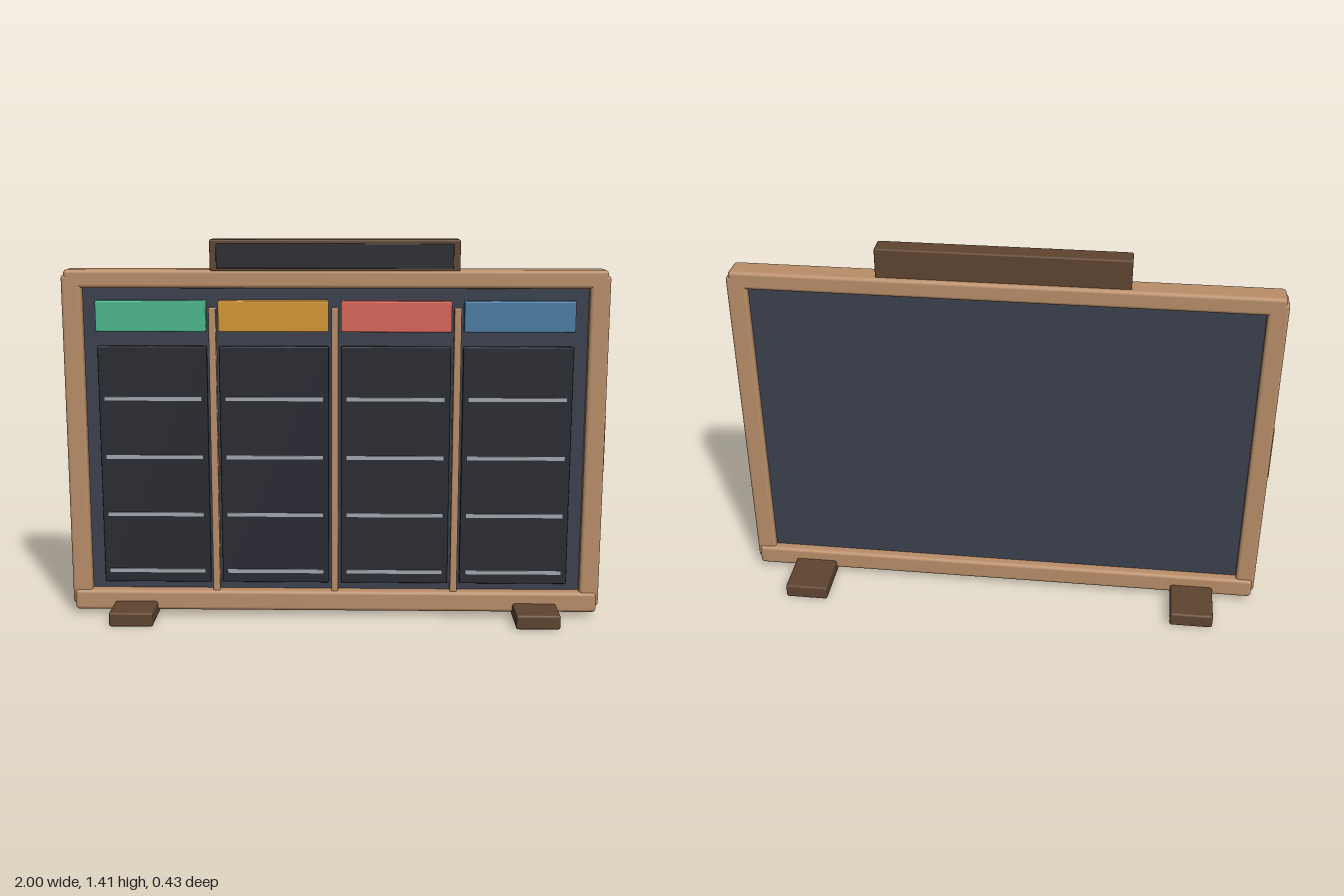
import * as THREE from 'three';
import { RoundedBoxGeometry } from 'three/addons/geometries/RoundedBoxGeometry.js';

function material(name, color) {
  const m = new THREE.MeshStandardMaterial({ color });
  m.name = name;
  return m;
}

export function createModel() {
  const model = new THREE.Group();
  model.name = 'taskBoard';

  const wood = material('light wood', 0xb98e69);
  const darkWood = material('dark wood', 0x5f442f);
  const slate = material('slate', 0x3b414e);
  const panelDark = material('dark panel', 0x2a2a33);
  const chalk = material('chalk grey', 0xa4a7b0);
  const green = material('green', 0x4cb88b);
  const amber = material('amber', 0xd49631);
  const red = material('red', 0xd96558);
  const blue = material('blue', 0x4a7ba3);

  // Soft-edged box given by its limits on each axis
  function block(name, mat, [x0, x1], [y0, y1], [z0, z1], radius = 0) {
    const size = [x1 - x0, y1 - y0, z1 - z0];
    const geometry = radius > 0
      ? new RoundedBoxGeometry(...size, 2, radius)
      : new THREE.BoxGeometry(...size);
    const mesh = new THREE.Mesh(geometry, mat);
    mesh.name = name;
    mesh.position.set((x0 + x1) / 2, (y0 + y1) / 2, (z0 + z1) / 2);
    model.add(mesh);
    return mesh;
  }

  // Board and its frame
  block('board', slate, [-0.95, 0.95], [0.06, 1.27], [0, 0.04]);
  block('topRail', wood, [-0.985, 0.985], [1.237, 1.305], [-0.025, 0.073], 0.014);
  block('bottomRail', wood, [-0.985, 0.985], [0.02, 0.098], [-0.036, 0.081], 0.014);

  // Side posts, grips and feet, mirrored
  for (const s of [-1, 1]) {
    const side = s > 0 ? 'left' : 'right';
    const span = (a, b) => (s > 0 ? [a, b] : [-b, -a]);
    block(side + 'Post', wood, span(0.921, 0.994), [0.043, 1.285], [-0.025, 0.073], 0.012);
    block(side + 'Grip', amber, span(0.975, 1), [0.555, 0.77], [0.009, 0.04], 0.004);
    block(side + 'Foot', darkWood, span(0.67, 0.833), [0, 0.055], [-0.215, 0.215], 0.009);
  }

  // Header sign on the top rail
  block('sign', darkWood, [-0.452, 0.452], [1.297, 1.413], [-0.008, 0.07], 0.007);
  block('signFace', panelDark, [-0.428, 0.428], [1.31, 1.398], [0.06, 0.076], 0.003);

  // Four columns, each with a coloured label, a panel and ruled lines
  [green, amber, red, blue].forEach((color, i) => {
    const x = (i - 1.5) * 0.447;
    const n = i + 1;
    block('columnLabel' + n, color, [x - 0.201, x + 0.201], [1.08, 1.193], [0.035, 0.078], 0.006);
    block('columnPanel' + n, panelDark, [x - 0.201, x + 0.201], [0.125, 1.025], [0.035, 0.057], 0.005);
    for (let row = 0; row < 4; row++) {
      const y = 0.17 + row * 0.22;
      block(`ruledLine${n}_${row + 1}`, chalk, [x - 0.18, x + 0.18], [y - 0.007, y + 0.007], [0.054, 0.061]);
    }
  });

  // Slim dividers between the columns
  for (const k of [-1, 0, 1]) {
    const x = k * 0.447;
    block('divider' + (k + 2), wood, [x - 0.013, x + 0.013], [0.09, 1.168], [0.035, 0.07], 0.006);
  }

  return model;
}
